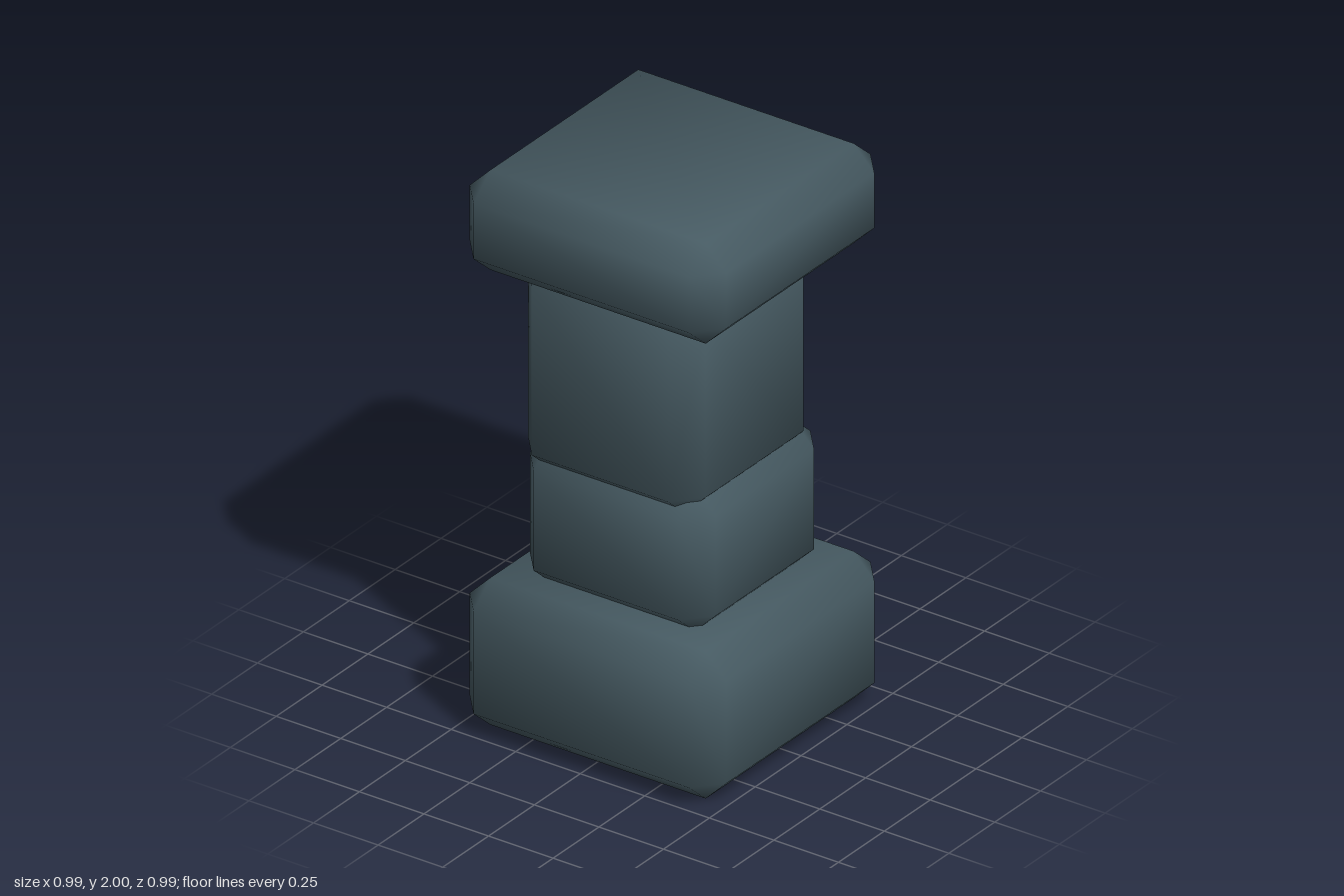
import * as THREE from 'three';
import { ConvexGeometry } from 'three/addons/geometries/ConvexGeometry.js';

const CHAMFER = [0.08, 0.08, 0.092];

// Chamfered block: three points at every corner, softly shaded across its edges.
function chamferedBlock(width, height, depth) {
  const half = [width / 2, height / 2, depth / 2];
  const points = [];
  for (const sx of [-1, 1]) for (const sy of [-1, 1]) for (const sz of [-1, 1]) {
    const signs = [sx, sy, sz];
    for (let axis = 0; axis < 3; axis++) {
      points.push(new THREE.Vector3(
        ...signs.map((s, i) => s * (i === axis ? half[i] : half[i] - CHAMFER[i]))
      ));
    }
  }
  const geometry = new ConvexGeometry(points);

  // Each corner point averages its main face, two bevels and the corner facet.
  const position = geometry.attributes.position;
  const normal = geometry.attributes.normal;
  const n = new THREE.Vector3();
  for (let i = 0; i < position.count; i++) {
    const p = [position.getX(i), position.getY(i), position.getZ(i)];
    n.set(...p.map((v, a) => Math.sign(v) * (Math.abs(v) > half[a] - 1e-4 ? 3 : 1.28))).normalize();
    normal.setXYZ(i, n.x, n.y, n.z);
  }
  return geometry;
}

export function createModel() {
  const group = new THREE.Group();
  group.name = 'stonePillar';
  const slate = new THREE.MeshStandardMaterial({ color: 0x465a62 });
  slate.name = 'darkSlate';

  // name, x range, y range, z range; the shaft blocks sink into their neighbours
  const blocks = [
    ['base', [-0.497, 0.497], [0, 0.53], [-0.495, 0.495]],
    ['lowerShaft', [-0.36, 0.36], [0.5, 1.02], [-0.36, 0.36]],
    ['upperShaft', [-0.36, 0.327], [0.92, 1.69], [-0.348, 0.37]],
    ['capital', [-0.497, 0.497], [1.64, 2], [-0.495, 0.495]],
  ];
  for (const [name, ...ranges] of blocks) {
    const mesh = new THREE.Mesh(chamferedBlock(...ranges.map(([a, b]) => b - a)), slate);
    mesh.position.set(...ranges.map(([a, b]) => (a + b) / 2));
    mesh.name = name;
    group.add(mesh);
  }
  return group;
}
